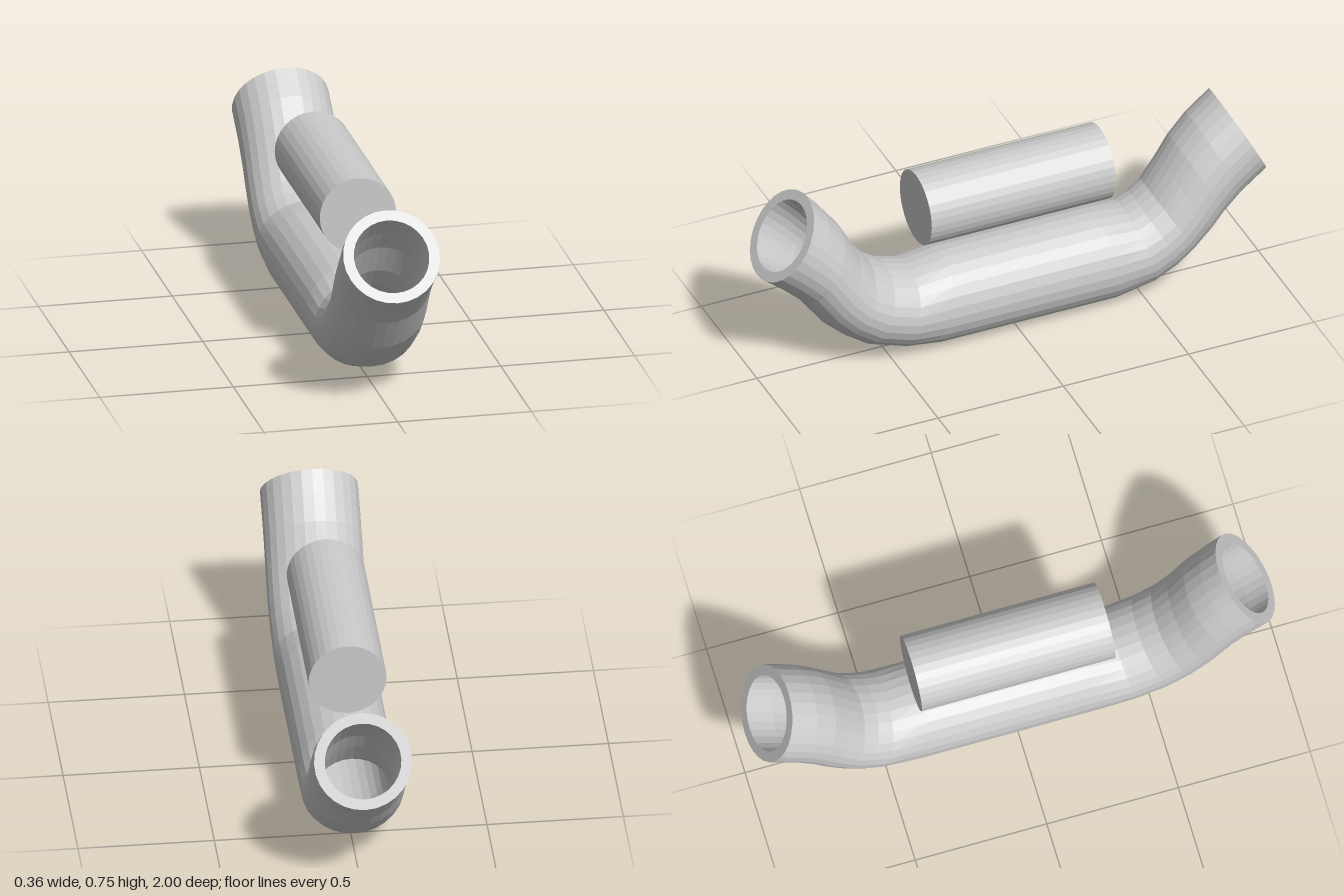
import * as THREE from 'three';

const SIDES = 28;
const material = new THREE.MeshStandardMaterial({ color: 0xcccccc, flatShading: true });

// Cross-sections of the pipe, front to back: [top z, top y, bottom z, bottom y]
const SECTIONS = [
  [0.80, 0.75, 1.00, 0.46],
  [0.74, 0.68, 0.92, 0.395],
  [0.68, 0.60, 0.85, 0.33],
  [0.62, 0.49, 0.757, 0.203],
  [0.56, 0.41, 0.69, 0.14],
  [0.49, 0.365, 0.60, 0.075],
  [0.40, 0.34, 0.46, 0.025],
  [0.27, 0.36, 0.32, 0.0],
  [0.0, 0.36, 0.0, 0.0],
  [-0.34, 0.36, -0.39, 0.0],
  [-0.46, 0.345, -0.55, 0.037],
  [-0.51, 0.365, -0.64, 0.085],
  [-0.56, 0.40, -0.71, 0.14],
  [-0.62, 0.49, -0.78, 0.205],
  [-0.67, 0.57, -0.83, 0.265],
  [-0.74, 0.65, -0.90, 0.335],
  [-0.835, 0.727, -1.0, 0.412],
];

// One elliptical ring spanning a section, scaled about its centre
function ring([tz, ty, bz, by], scale) {
  const points = [];
  for (let j = 0; j < SIDES; j++) {
    const a = (j / SIDES) * Math.PI * 2;
    const s = (Math.sin(a) * scale) / 2;
    points.push([
      0.18 * scale * Math.cos(a),
      (ty + by) / 2 + (ty - by) * s,
      (tz + bz) / 2 + (tz - bz) * s,
    ]);
  }
  return points;
}

// Outer skin, end rim, bore and second rim joined as one closed loop of rings
function pipeGeometry() {
  const outer = SECTIONS.map((s) => ring(s, 1));
  const bore = SECTIONS.map((s) => ring(s, 0.78)).reverse();
  const rings = [...outer, ...bore];
  const positions = [];
  rings.forEach((current, i) => {
    const next = rings[(i + 1) % rings.length];
    for (let j = 0; j < SIDES; j++) {
      const k = (j + 1) % SIDES;
      positions.push(...current[j], ...next[j], ...next[k]);
      positions.push(...current[j], ...next[k], ...current[k]);
    }
  });
  const geometry = new THREE.BufferGeometry();
  geometry.setAttribute('position', new THREE.Float32BufferAttribute(positions, 3));
  geometry.computeVertexNormals();
  return geometry;
}

export function createModel() {
  const model = new THREE.Group();
  model.name = 'bentPipeWithRod';

  // Hollow pipe with both ends bent upwards
  const pipe = new THREE.Mesh(pipeGeometry(), material);
  pipe.name = 'bentPipe';
  model.add(pipe);

  // Solid rod floating above the straight run
  const rod = new THREE.Mesh(new THREE.CylinderGeometry(0.143, 0.143, 0.735, 32), material);
  rod.name = 'rod';
  rod.rotation.x = Math.PI / 2;
  rod.position.set(-0.003, 0.578, -0.003);
  model.add(rod);

  return model;
}
